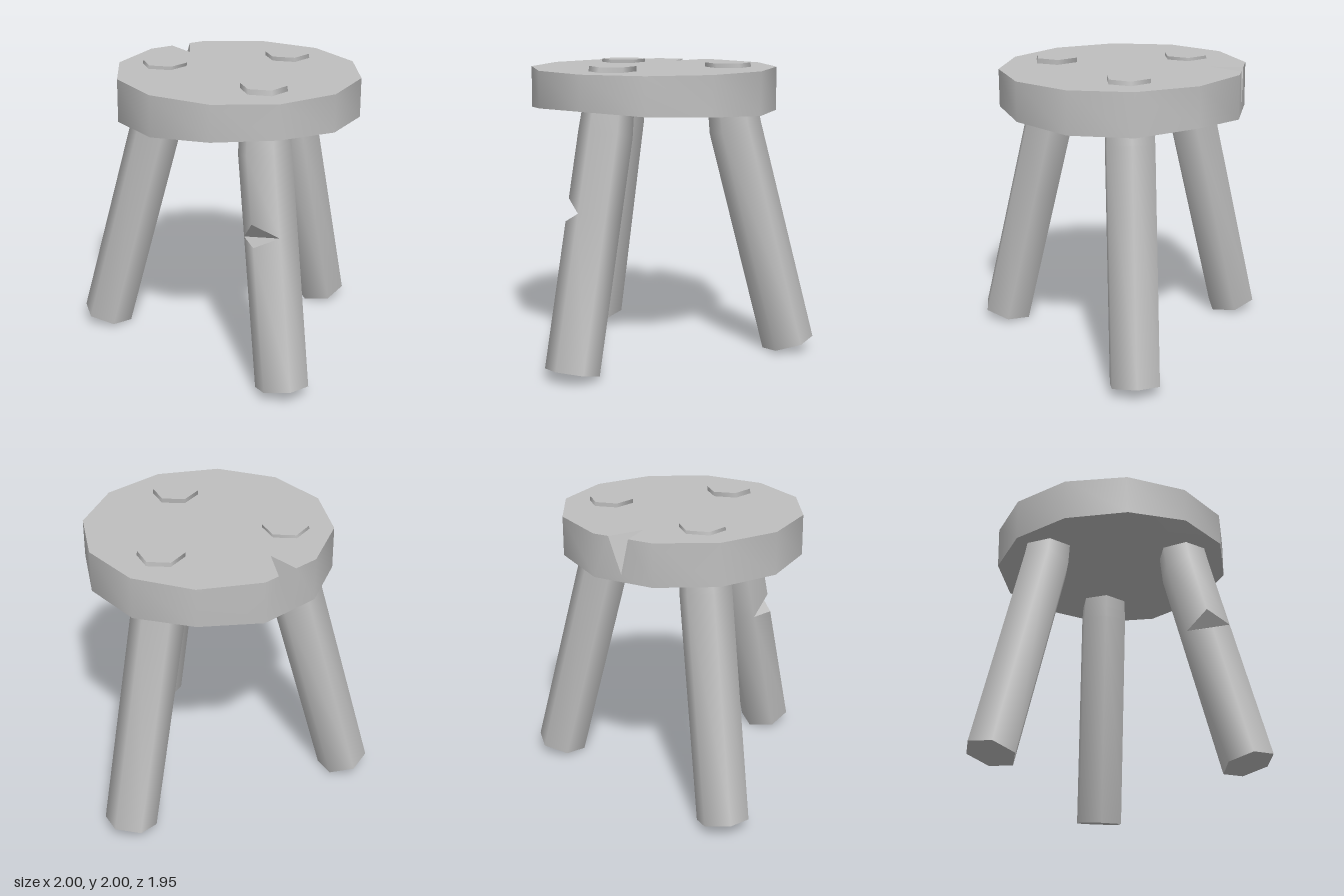
import * as THREE from 'three';
import { toCreasedNormals } from 'three/addons/utils/BufferGeometryUtils.js';

const wood = new THREE.MeshStandardMaterial({ color: 0xbfbfbf });
wood.name = 'plain grey wood';

const V = (x, y, z) => new THREE.Vector3(x, y, z);

// Mesh from a list of triangle corners; edges sharper than crease stay hard
function meshFrom(points, crease, name) {
  const geometry = new THREE.BufferGeometry().setFromPoints(points);
  geometry.computeVertexNormals();
  const mesh = new THREE.Mesh(toCreasedNormals(geometry, crease), wood);
  mesh.name = name;
  return mesh;
}

// Closed band of outward faces between two rings
function band(out, low, high) {
  low.forEach((a, i) => {
    const j = (i + 1) % low.length;
    out.push(a, high[i], high[j], a, high[j], low[j]);
  });
}

// Fan cap around a centre point
function cap(out, centre, ring, up) {
  ring.forEach((a, i) => {
    const b = ring[(i + 1) % ring.length];
    if (up) out.push(centre, b, a);
    else out.push(centre, a, b);
  });
}

// Twelve-sided, slightly uneven slab with a chip in its rim
function makeSeat() {
  const cx = 0.157, cz = -0.005, radius = 0.84;
  const topY = (x, z) => 1.953 - 0.006 * x - 0.006 * z;
  const bottomY = [1.68, 1.69, 1.71, 1.7, 1.67, 1.66, 1.66, 1.66, 1.66, 1.685, 1.66, 1.66];
  const onTop = (x, z) => V(x, topY(x, z), z);
  const top = [], low = [];
  bottomY.forEach((y, k) => {
    const a = k * Math.PI / 6;
    const x = cx + radius * Math.cos(a), z = cz + radius * Math.sin(a);
    top.push(onTop(x, z));
    low.push(V(x, y, z));
  });

  // Chip corners: two on the rim, one inside, one low on the side
  const chip = 7;
  const left = top[chip].clone().lerp(top[chip + 1], 0.4);
  const right = top[chip].clone().lerp(top[chip + 1], 0.74);
  const inner = onTop(-0.28, -0.4);
  const deep = low[chip].clone().lerp(low[chip + 1], 0.53);
  deep.y = 1.71;

  const p = [];
  const rim = [...top.slice(0, chip + 1), left, inner, right, ...top.slice(chip + 1)];
  cap(p, onTop(cx, cz), rim, true);
  cap(p, V(cx, 1.67, cz), low, false);
  for (let k = 0; k < 12; k++) {
    const j = (k + 1) % 12;
    const a = low[k], b = low[j], c = top[j], d = top[k];
    if (k === chip) {
      p.push(a, d, left, a, left, deep, a, deep, b, deep, right, b, right, c, b);
      p.push(deep, left, inner, deep, inner, right);
    } else p.push(a, d, c, a, c, b);
  }
  return meshFrom(p, 0.6, 'seat');
}

// Hexagonal ring, outer side raised by the tilt
function hexRing(centre, radius, direction, tilt) {
  const r = V(Math.cos(direction), 0, Math.sin(direction));
  const side = V(-r.z, 0, r.x);
  const out = r.clone().multiplyScalar(Math.cos(tilt));
  out.y = Math.sin(tilt);
  return Array.from({ length: 6 }, (_, j) => {
    const a = j * Math.PI / 3;
    return centre.clone()
      .addScaledVector(out, radius * Math.cos(a))
      .addScaledVector(side, radius * Math.sin(a));
  });
}

// Splayed leg that bends upright and pokes through the seat as a peg
function makeLeg({ name, direction, foot, bend, peg, notched }) {
  const group = new THREE.Group();
  group.name = name;
  const tilt = Math.atan(0.264);
  const bottom = hexRing(foot, 0.18, direction, tilt);
  const middle = hexRing(bend, 0.18, direction, tilt);
  const top = hexRing(peg, 0.155, direction, 0);
  const p = [];
  cap(p, foot, bottom, false);
  if (notched) {
    // Wedge cut across one long edge of the leg
    const cut = edgeT => bottom.map((b, j) => b.clone().lerp(middle[j], j === 1 ? edgeT : 0.653));
    const lower = cut(0.617), upper = cut(0.715);
    band(p, bottom, lower);
    band(p, upper, middle);
    const [r, u, l] = upper;
    group.add(meshFrom([l, lower[1], r, r, u, l], 0.1, 'legNotch'));
  } else band(p, bottom, middle);
  band(p, middle, top);
  cap(p, peg, top, true);
  group.add(meshFrom(p, 1.1, 'legShaft'));
  return group;
}

export function createModel() {
  const model = new THREE.Group();
  model.name = 'stool';
  model.add(makeSeat());
  const legs = [
    { name: 'rightLeg', direction: Math.PI, foot: V(-0.825, 0.027, -0.02),
      bend: V(-0.425, 1.54, -0.02), peg: V(-0.36, 1.978, -0.025) },
    { name: 'frontLeg', direction: Math.PI / 3, foot: V(0.643, 0.027, 0.82),
      bend: V(0.445, 1.54, 0.487), peg: V(0.417, 1.982, 0.418), notched: true },
    { name: 'backLeg', direction: -Math.PI / 3, foot: V(0.645, 0.027, -0.82),
      bend: V(0.445, 1.54, -0.49), peg: V(0.417, 1.982, -0.44) },
  ];
  legs.forEach(leg => model.add(makeLeg(leg)));
  return model;
}
